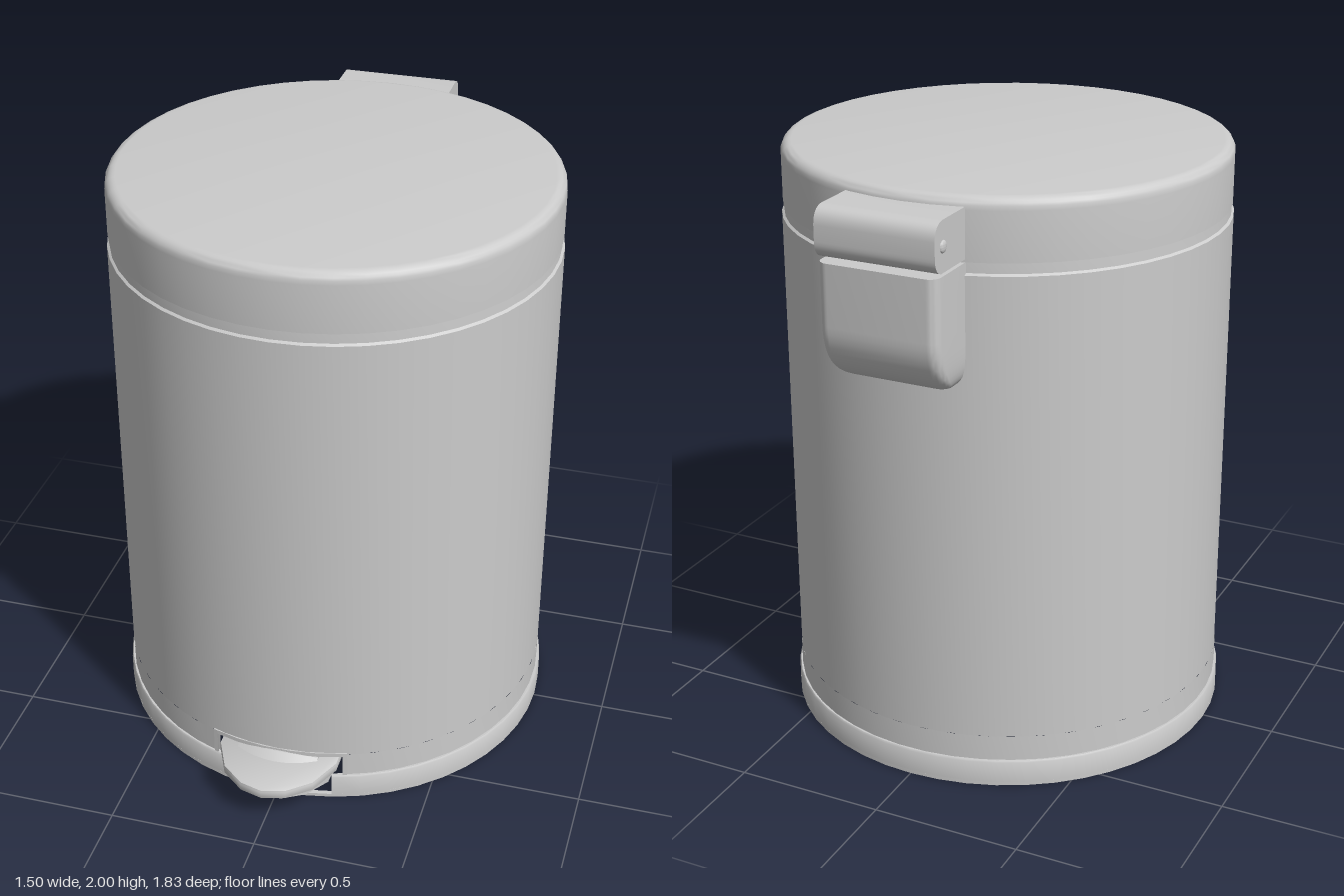
import * as THREE from 'three';
import { toCreasedNormals } from 'three/addons/utils/BufferGeometryUtils.js';
import { ConvexGeometry } from 'three/addons/geometries/ConvexGeometry.js';

const material = new THREE.MeshStandardMaterial({ color: 0xcccccc, side: THREE.DoubleSide });
const CENTRE_Z = -0.013;
const V = (x, y, z) => new THREE.Vector3(x, y, z);

function part(name, geometry, crease = 0.6) {
  const mesh = new THREE.Mesh(toCreasedNormals(geometry, crease), material);
  mesh.name = name;
  return mesh;
}

// Turned part about the bin's axis; the angle starts at the front (+z)
function turned(name, profile, start = 0, length = Math.PI * 2) {
  const points = profile.map(([r, y]) => new THREE.Vector2(r, y));
  const segments = Math.max(4, Math.round(48 * length / (Math.PI * 2)));
  const mesh = part(name, new THREE.LatheGeometry(points, segments, start, length));
  mesh.position.z = CENTRE_Z;
  return mesh;
}

// Ring of rectangular section
const band = (name, r0, r1, y0, y1, start, length) =>
  turned(name, [[r0, y0], [r1, y0], [r1, y1], [r0, y1], [r0, y0]], start, length);

function makePedal() {
  const pedal = new THREE.Group();
  pedal.name = 'pedal';

  // Tread plate, outlined in plan and laid flat
  const outline = [[-0.2, 0.65], [-0.2, 0.715], [-0.15, 0.825], [-0.075, 0.887], [0, 0.907],
    [0.075, 0.887], [0.15, 0.825], [0.2, 0.715], [0.2, 0.65]];
  const shape = new THREE.Shape(outline.map(([x, z]) => new THREE.Vector2(x, z)));
  const plate = new THREE.ExtrudeGeometry(shape, {
    depth: 0.02, bevelThickness: 0.008, bevelSize: 0.006, bevelSegments: 2 });
  plate.rotateX(Math.PI / 2).translate(0, 0.15, 0);
  pedal.add(part('pedalTread', plate));

  // Tapered block under the tread, running into the bin
  const block = [];
  for (const s of [-1, 1]) {
    block.push(V(s * 0.18, 0.068, 0.65), V(s * 0.18, 0.13, 0.65), V(s * 0.18, 0.08, 0.73),
      V(s * 0.18, 0.13, 0.73), V(s * 0.13, 0.1, 0.83), V(s * 0.13, 0.13, 0.83),
      V(s * 0.06, 0.113, 0.885), V(s * 0.06, 0.13, 0.885));
  }
  pedal.add(part('pedalBlock', new ConvexGeometry(block)));

  // Raised heel, curved in plan
  const heel = [];
  for (let i = 0; i <= 8; i++) {
    const x = -0.14 + 0.035 * i;
    const bulge = 1 - (x / 0.14) ** 2;
    heel.push(V(x, 0.15, 0.735 + 0.04 * bulge), V(x, 0.165 + 0.015 * bulge, 0.715 + 0.02 * bulge),
      V(x, 0.165 + 0.015 * bulge, 0.69), V(x, 0.15, 0.69));
  }
  pedal.add(part('pedalHeel', new ConvexGeometry(heel)));
  return pedal;
}

// Housing lofted downward, rounded at the back corners and the bottom
function makeHingeCover() {
  const front = -0.7, top = 1.8, rows = 14, cols = 18;
  const positions = [], index = [];
  for (let j = 0; j <= rows; j++) {
    const a = Math.max(0, (j - 1) / (rows - 1)) * Math.PI / 2;
    const y = j === 0 ? top : 1.6 - 0.195 * Math.sin(a);
    const back = -0.745 - 0.165 * Math.cos(a);
    const halfWidth = 0.2 - 0.07 * Math.pow(1 - Math.cos(a), 2.5);
    const r = Math.min(0.035, (front - back) * 0.4);
    positions.push(halfWidth, y, front);
    for (let i = 0; i <= cols - 3; i++) {
      const right = i <= 7;
      const t = (right ? i / 7 : (i - 8) / 7) * Math.PI / 2;
      const dx = right ? Math.cos(t) : -Math.sin(t);
      const dz = right ? Math.sin(t) : Math.cos(t);
      positions.push((right ? 1 : -1) * (halfWidth - r) + dx * r, y, back + r - dz * r);
    }
    positions.push(-halfWidth, y, front);
  }
  for (let j = 0; j < rows; j++) {
    for (let i = 0; i < cols; i++) {
      const a = j * cols + i, b = j * cols + (i + 1) % cols;
      index.push(a, a + cols, b, b, a + cols, b + cols);
    }
  }
  for (let i = 1; i < cols - 1; i++) {
    index.push(0, i, i + 1);
    const k = rows * cols;
    index.push(k, k + i + 1, k + i);
  }
  // Reverse the winding so that faces point outward
  for (let i = 0; i < index.length; i += 3) [index[i + 1], index[i + 2]] = [index[i + 2], index[i + 1]];
  const geometry = new THREE.BufferGeometry();
  geometry.setAttribute('position', new THREE.Float32BufferAttribute(positions, 3));
  geometry.setIndex(index);
  geometry.computeVertexNormals();
  return part('hingeCover', geometry);
}

function makeHingeKnuckle() {
  // Side profile in (depth, height), swept across the width
  const s = new THREE.Shape();
  s.moveTo(0.69, 1.81);
  s.lineTo(0.875, 1.81);
  s.quadraticCurveTo(0.913, 1.82, 0.913, 1.865);
  s.lineTo(0.913, 1.915);
  s.quadraticCurveTo(0.91, 1.968, 0.86, 1.97);
  s.lineTo(0.69, 1.97);
  const geometry = new THREE.ExtrudeGeometry(s, { depth: 0.4, bevelEnabled: false, curveSegments: 8 });
  geometry.rotateY(Math.PI / 2).translate(-0.2, 0, 0);
  return part('hingeKnuckle', geometry.scale(-1, 1, 1).rotateY(0));
}

export function createModel() {
  const model = new THREE.Group();
  model.name = 'pedalBin';
  const full = Math.PI * 2;
  const hole = Math.asin(0.22 / 0.741);
  const gap = Math.asin(0.187 / 0.75);

  // Body, open below, with a slot at the front for the pedal
  model.add(turned('body', [[0.741, 0.18], [0.741, 1.76], [0.733, 1.766], [0.731, 1.805]]));
  model.add(turned('lowerBody', [[0.741, 0.05], [0.741, 0.18]], hole, full - 2 * hole));

  // Lid with a rounded shoulder
  const lid = [[0.725, 1.8], [0.737, 1.8], [0.737, 1.96]];
  for (let i = 1; i <= 6; i++) {
    const a = i / 6 * Math.PI / 2;
    lid.push([0.702 + 0.035 * Math.cos(a), 1.965 + 0.035 * Math.sin(a)]);
  }
  lid.push([0, 2]);
  model.add(turned('lid', lid));

  // Base ring, broken above its foot at the pedal
  model.add(band('baseFoot', 0.736, 0.751, 0, 0.012));
  model.add(turned('baseRing', [[0.736, 0.012], [0.751, 0.012], [0.751, 0.086], [0.747, 0.092],
    [0.736, 0.092]], gap, full - 2 * gap));

  // Surround of the pedal slot
  const edge = 0.02;
  model.add(band('slotTop', 0.73, 0.745, 0.172, 0.187, -hole - edge, 2 * (hole + edge)));
  for (const s of [-1, 1]) {
    model.add(band('slotSide', 0.73, 0.745, 0.09, 0.187, s * (hole + edge / 2) - edge / 2, edge));
  }

  model.add(makePedal());

  // Hinge at the back, with pin heads on both sides
  const hinge = new THREE.Group();
  hinge.name = 'hinge';
  // The knuckle profile is drawn with depth running backward
  const knuckle = makeHingeKnuckle();
  hinge.add(knuckle, makeHingeCover());
  for (const s of [-1, 1]) {
    const pin = part('hingePin', new THREE.SphereGeometry(0.02, 12, 8));
    pin.scale.x = 0.4;
    pin.position.set(s * 0.2, 1.89, -0.862);
    hinge.add(pin);
  }
  model.add(hinge);
  return model;
}
